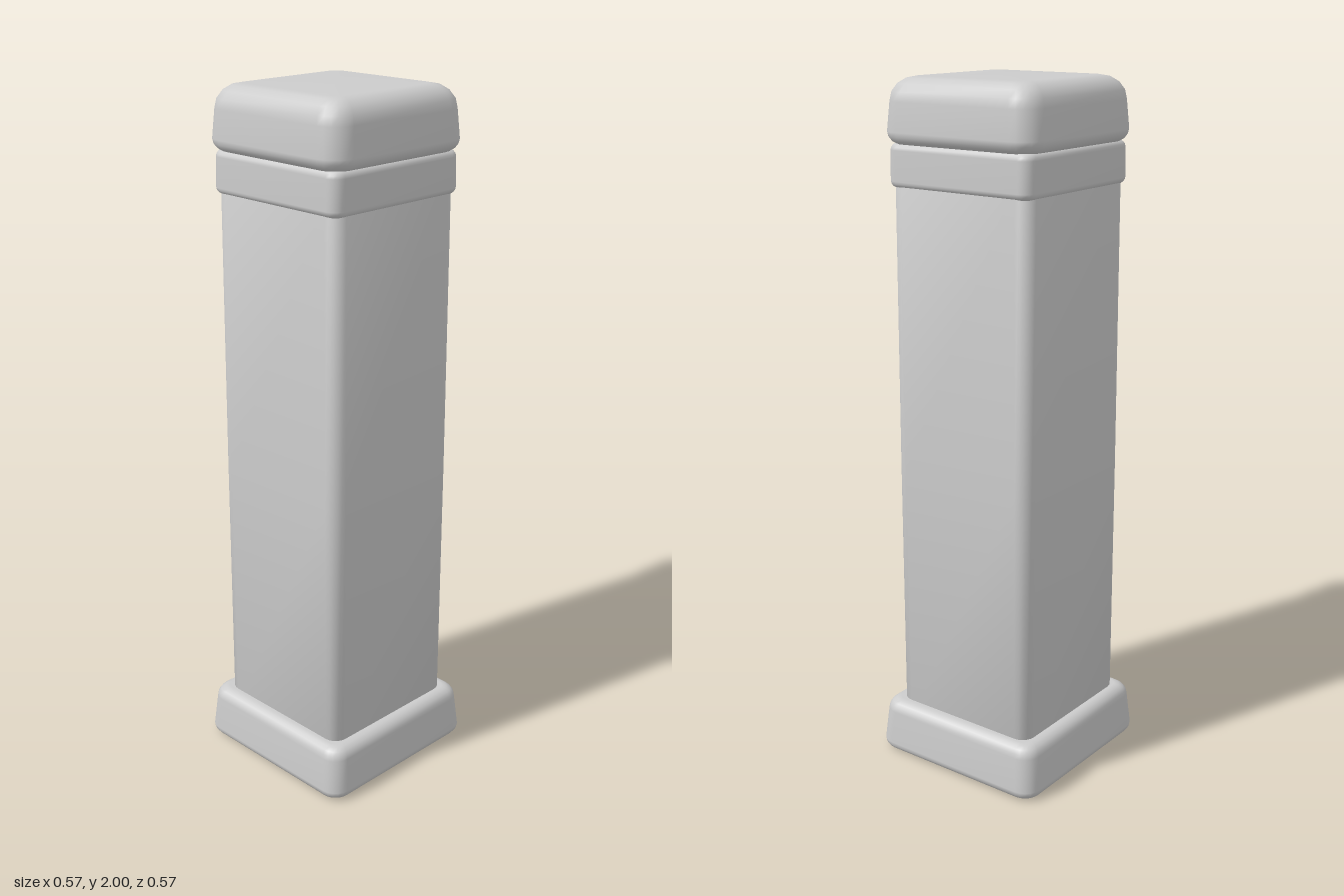
import * as THREE from 'three';

// Ring of points around a square with rounded corners
function ring(y, half, radius, steps) {
  const points = [];
  for (let c = 0; c < 4; c++) {
    const mid = (c + 0.5) * Math.PI / 2;
    const cx = Math.sign(Math.cos(mid)) * (half - radius);
    const cz = Math.sign(Math.sin(mid)) * (half - radius);
    for (let i = 0; i <= steps; i++) {
      const a = (c + i / steps) * Math.PI / 2;
      points.push(cx + radius * Math.cos(a), y, cz + radius * Math.sin(a));
    }
  }
  return points;
}

// Closed, smooth loft through sections of [y, half width, corner radius]
function loft(sections, steps = 5) {
  const n = 4 * (steps + 1);
  const positions = [];
  const index = [];
  sections.forEach(([y, half, radius]) => positions.push(...ring(y, half, radius, steps)));
  for (let s = 0; s < sections.length - 1; s++) {
    for (let i = 0; i < n; i++) {
      const a = s * n + i, b = s * n + (i + 1) % n;
      index.push(a, a + n, b, b, a + n, b + n);
    }
  }
  // end faces
  const last = (sections.length - 1) * n;
  const bottom = positions.length / 3, top = bottom + 1;
  positions.push(0, sections[0][0], 0, 0, sections[sections.length - 1][0], 0);
  for (let i = 0; i < n; i++) {
    const j = (i + 1) % n;
    index.push(bottom, i, j, top, last + j, last + i);
  }
  const geometry = new THREE.BufferGeometry();
  geometry.setAttribute('position', new THREE.Float32BufferAttribute(positions, 3));
  geometry.setIndex(index);
  geometry.computeVertexNormals();
  return geometry;
}

// Tapered block whose lower and upper edges are rounded over
function block({ y0, y1, lower, upper, corner, roundLow, roundHigh, insetHigh = roundHigh }) {
  const sections = [];
  const steps = 4;
  for (let i = 0; i <= steps; i++) {
    const a = i / steps * Math.PI / 2;
    const inset = roundLow * (1 - Math.sin(a));
    sections.push([y0 + roundLow * (1 - Math.cos(a)), lower - inset, corner - inset * 0.6]);
  }
  for (let i = 0; i <= steps; i++) {
    const a = i / steps * Math.PI / 2;
    const inset = insetHigh * (1 - Math.cos(a));
    sections.push([y1 - roundHigh * (1 - Math.sin(a)), upper - inset, corner - inset * 0.6]);
  }
  return loft(sections);
}

export function createModel() {
  const group = new THREE.Group();
  const stone = new THREE.MeshStandardMaterial({ color: 0xcccccc });
  stone.name = 'grey stone';

  const parts = {
    base: block({ y0: 0, y1: 0.165, lower: 0.284, upper: 0.275, corner: 0.05, roundLow: 0.03, roundHigh: 0.035 }),
    shaft: loft([[0.1, 0.234, 0.04], [0.9, 0.234, 0.04], [1.76, 0.232, 0.04]]),
    collar: block({ y0: 1.705, y1: 1.826, lower: 0.24, upper: 0.239, corner: 0.035, roundLow: 0.018, roundHigh: 0.02 }),
    cap: block({ y0: 1.82, y1: 2, lower: 0.254, upper: 0.248, corner: 0.066, roundLow: 0.035, roundHigh: 0.065 }),
  };
  for (const [name, geometry] of Object.entries(parts)) {
    const mesh = new THREE.Mesh(geometry, stone);
    mesh.name = name;
    group.add(mesh);
  }
  return group;
}
